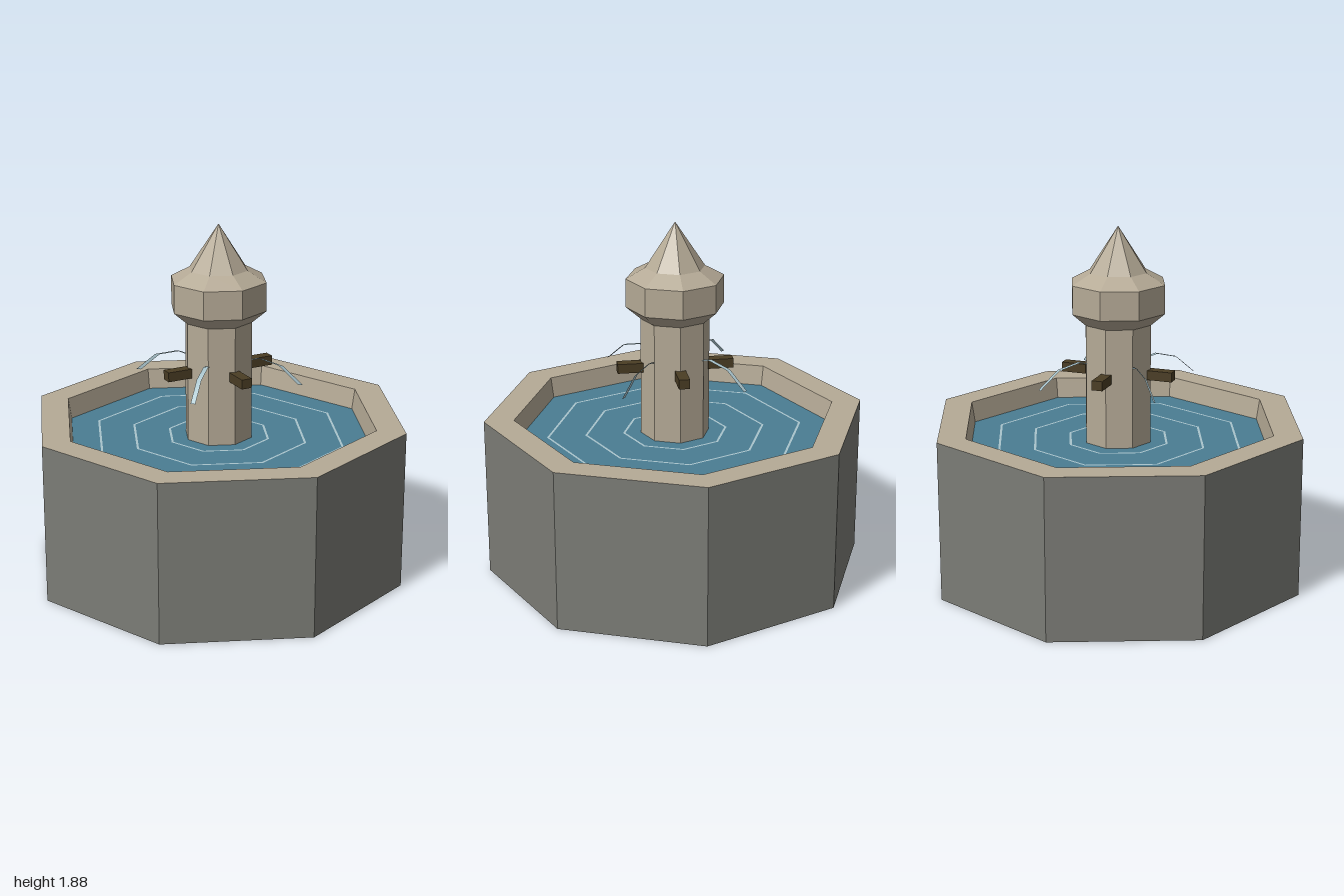
import * as THREE from 'three';

const SIDES = 8;

function material(name, color) {
  const m = new THREE.MeshStandardMaterial({ color, side: THREE.DoubleSide });
  m.name = name;
  return m;
}

// Eight-sided turned shape with hard facets, from [radius, height] pairs
function turned(profile) {
  const points = profile.map(([r, y]) => new THREE.Vector2(r, y));
  const geometry = new THREE.LatheGeometry(points, SIDES).toNonIndexed();
  geometry.computeVertexNormals();
  return geometry;
}

// Flat strip of water: the path is [distance, height], swept across x
function ribbon(path, dirX, dirZ, halfWidth) {
  const positions = [];
  const index = [];
  path.forEach(([d, y], i) => {
    positions.push(d * dirX - halfWidth, y, d * dirZ, d * dirX + halfWidth, y, d * dirZ);
    if (i > 0) {
      const k = 2 * i;
      index.push(k - 2, k - 1, k, k - 1, k + 1, k);
    }
  });
  const geometry = new THREE.BufferGeometry();
  geometry.setAttribute('position', new THREE.Float32BufferAttribute(positions, 3));
  geometry.setIndex(index);
  geometry.computeVertexNormals();
  return geometry;
}

export function createModel() {
  const model = new THREE.Group();
  model.name = 'fountain';

  const greyStone = material('grey stone', 0x7b7c76);
  const paleStone = material('pale stone', 0xb5aa96);
  const water = material('water', 0x4a7d93);
  const foam = material('foam', 0xa9c4cc);
  const darkBronze = material('dark bronze', 0x4a3d24);

  const add = (name, geometry, mat, parent = model) => {
    const mesh = new THREE.Mesh(geometry, mat);
    mesh.name = name;
    parent.add(mesh);
    return mesh;
  };

  // Basin: hollow wall, raised floor and the low plinth underneath
  add('basinWall', turned([[1, 0], [1, 0.85]]), greyStone);
  add('basinFloor', turned([[0.2, 0.49], [1, 0.49]]), greyStone);
  add('plinth', turned([[0.58, 0], [0.58, 0.15], [0.22, 0.15]]), greyStone);
  add('basinRim', turned([[1, 0.85], [0.845, 0.85], [0.825, 0.72]]), paleStone);

  // Water surface with octagonal ripples
  add('waterSurface', turned([[0.83, 0.74], [0.1, 0.74]]), water);
  const ripples = new THREE.Group();
  ripples.name = 'ripples';
  model.add(ripples);
  for (const r of [0.27, 0.47, 0.67]) {
    add('ripple', turned([[r + 0.006, 0.742], [r - 0.006, 0.742]]), foam, ripples);
  }

  // Central column, its swelling head and the pointed cap
  add('column', turned([[0.22, 0.15], [0.18, 0.34], [0.18, 1.37]]), paleStone);
  add('columnHead', turned([[0.18, 1.37], [0.255, 1.435], [0.255, 1.585], [0.155, 1.64]]), paleStone);
  add('spire', turned([[0.155, 1.64], [0, 1.875]]), paleStone);

  // Four spouts on the diagonals
  for (let i = 0; i < 4; i++) {
    const angle = Math.PI / 4 + (i * Math.PI) / 2;
    const spout = add('spout', new THREE.BoxGeometry(0.057, 0.05, 0.133), darkBronze);
    spout.position.set(0.237 * Math.sin(angle), 1.11, 0.237 * Math.cos(angle));
    spout.rotation.y = angle;
  }

  // Four arching jets
  const arc = [[0.16, 1.165], [0.22, 1.18], [0.335, 1.15], [0.44, 1.057]];
  for (const [dx, dz] of [[1, 0], [-1, 0], [0, 1], [0, -1]]) {
    add('waterJet', ribbon(arc, dx, dz, 0.0125), foam);
  }

  return model;
}
